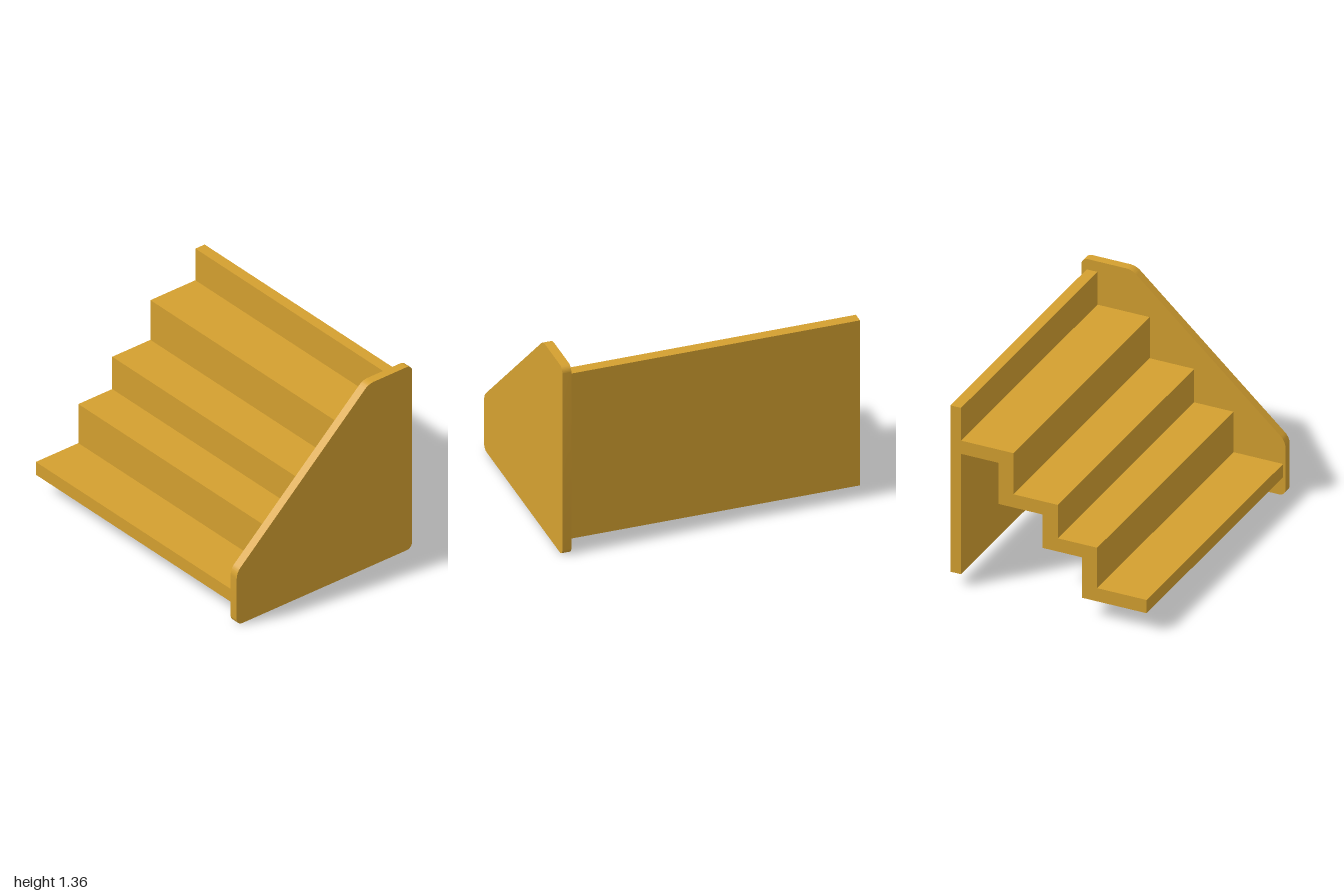
import * as THREE from 'three';
import { toCreasedNormals } from 'three/addons/utils/BufferGeometryUtils.js';

// Extrude a (z, y) outline along x, from x0 to x1
function extrudeAlongX(shape, x0, x1) {
  const geo = new THREE.ExtrudeGeometry(shape, { depth: x1 - x0, bevelEnabled: false, curveSegments: 8 });
  geo.rotateY(-Math.PI / 2);
  geo.translate(x1, 0, 0);
  return toCreasedNormals(geo, 0.5);
}

// Convex counter-clockwise outline with an arc of radius r at each [z, y, r] corner
function roundedOutline(corners) {
  const shape = new THREE.Shape();
  const n = corners.length;
  corners.forEach(([z, y, r], i) => {
    const prev = corners[(i + n - 1) % n];
    const next = corners[(i + 1) % n];
    const a0 = Math.atan2(y - prev[1], z - prev[0]);
    let a1 = Math.atan2(next[1] - y, next[0] - z);
    if (a1 < a0) a1 += 2 * Math.PI;
    const t = r * Math.tan((a1 - a0) / 2);
    const cz = z - Math.cos(a0) * t - Math.sin(a0) * r;
    const cy = y - Math.sin(a0) * t + Math.cos(a0) * r;
    shape.absarc(cz, cy, r, a0 - Math.PI / 2, a1 - Math.PI / 2, false);
  });
  shape.closePath();
  return shape;
}

export function createModel() {
  const group = new THREE.Group();
  const wood = new THREE.MeshStandardMaterial({ color: 0xd4a030 });
  wood.name = 'goldenWood';

  const add = (name, geo) => {
    const mesh = new THREE.Mesh(geo, wood);
    mesh.name = name;
    group.add(mesh);
  };
  const left = -1, inner = 0.94, right = 1;

  // Folded run of treads and risers: one closed zig-zag strip
  const fronts = [0.695, 0.35, 0.075, -0.235]; // front edge of each tread
  const tops = [0.225, 0.515, 0.755, 1.05];    // top of each tread
  const backZ = -0.6, treadThick = 0.095, riserThick = 0.105;
  const upper = [], lower = [];
  fronts.forEach((z, i) => {
    const end = i < 3 ? fronts[i + 1] : backZ;
    upper.push([z, tops[i]], [end, tops[i]]);
    const under = tops[i] - treadThick;
    lower.push([i ? z - riserThick : z, under], [i < 3 ? end - riserThick : end, under]);
  });
  const outline = [...upper, ...lower.reverse()].map(([z, y]) => new THREE.Vector2(z, y));
  add('steps', extrudeAlongX(new THREE.Shape(outline), left, inner));

  // Upright back board
  const back = new THREE.BoxGeometry(inner - left, 1.195, 0.075);
  back.translate((left + inner) / 2, 0.6875, -0.6375);
  add('backPanel', back);

  // Sloping side board with rounded corners
  const side = roundedOutline([
    [-0.712, 0, 0.045], [0.712, 0, 0.045], [0.712, 0.39, 0.1],
    [-0.36, 1.36, 0.11], [-0.712, 1.36, 0.045],
  ].map((c) => c));
  add('sidePanel', extrudeAlongX(side, inner, right));

  return group;
}
